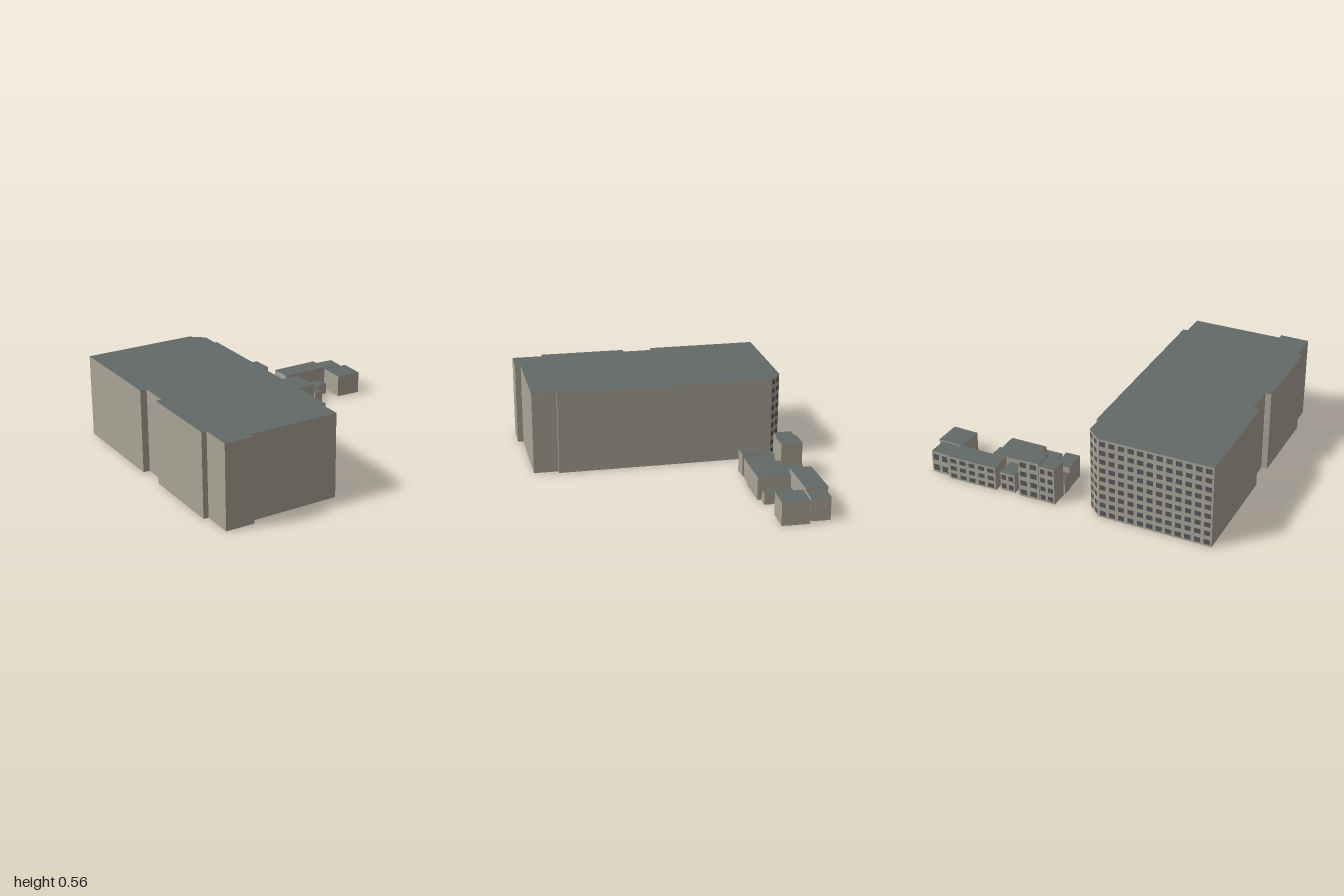
import * as THREE from 'three';
import { mergeGeometries } from 'three/addons/utils/BufferGeometryUtils.js';

const makeMaterial = (name, color, side) => {
  const material = new THREE.MeshStandardMaterial({ color, side });
  material.name = name;
  return material;
};
const wallMat = makeMaterial('stone wall', 0xaaa496, THREE.DoubleSide);
const roofMat = makeMaterial('slate roof', 0x626a66, THREE.DoubleSide);
const glassMat = makeMaterial('window glass', 0x53595b, THREE.FrontSide);

// Upright rectangle on the edge a-b, centred at fraction t along it and height y
function panel(a, b, t, y, width, height, lift = 0) {
  const along = b.clone().sub(a);
  const out = new THREE.Vector2(along.y, -along.x).normalize();
  const p = a.clone().addScaledVector(along, t).addScaledVector(out, lift);
  return new THREE.PlaneGeometry(width, height)
    .rotateY(Math.atan2(out.x, out.y))
    .translate(p.x, y, p.y);
}

// Even grid of windows over one wall
function windowGrid(a, b, h) {
  const pitch = 0.063, len = a.distanceTo(b);
  const cols = Math.round(len / pitch), rows = Math.round(h / pitch);
  const parts = [];
  for (let r = 0; r < rows; r++) {
    for (let c = 0; c < cols; c++) {
      parts.push(panel(a, b, (c + 0.5) / cols, (r + 0.5) * h / rows,
        0.65 * len / cols, 0.54 * h / rows, 0.002));
    }
  }
  return parts;
}

// Walls and flat roof over a footprint (x, z), open below; the first edges are glazed
function makeBuilding(name, plan, h, glazedEdges) {
  const group = new THREE.Group();
  group.name = name;
  const add = (part, geometry, material) => {
    const mesh = new THREE.Mesh(geometry, material);
    mesh.name = part;
    group.add(mesh);
  };
  const walls = [], windows = [];
  plan.forEach((a, i) => {
    const b = plan[(i + 1) % plan.length];
    walls.push(panel(a, b, 0.5, h / 2, a.distanceTo(b), h));
    if (i < glazedEdges) windows.push(...windowGrid(a, b, h));
  });
  add('walls', mergeGeometries(walls), wallMat);
  const shape = new THREE.Shape(plan.map((p) => new THREE.Vector2(p.x, -p.y)));
  add('roof', new THREE.ShapeGeometry(shape).rotateX(-Math.PI / 2).translate(0, h, 0), roofMat);
  if (windows.length) add('windows', mergeGeometries(windows), glassMat);
  return group;
}

// Four-cornered footprint, turned slightly about its centre, back edge first
function rectangle(x, z, w, d, turn) {
  const centre = new THREE.Vector2(x, z);
  return [[-1, -1], [1, -1], [1, 1], [-1, 1]].map(([i, j]) =>
    new THREE.Vector2(x + i * w / 2, z + j * d / 2).rotateAround(centre, turn));
}

const outline = (points) => points.map(([x, z]) => new THREE.Vector2(x, z));

// Large block: chamfered back corner, stepped front, shallow notch in one long side
function makeMainBlock() {
  const plan = outline([
    [-1, -0.865], [-0.24, -0.87], [-0.147, -0.79], [-0.147, -0.665], [-0.13, -0.665],
    [-0.12, 0.683], [-0.15, 0.683], [-0.15, 0.85], [-0.76, 0.858], [-0.76, 0.897],
    [-0.955, 0.897], [-0.955, 0.683], [-0.99, 0.683], [-0.99, 0.095], [-0.95, 0.095],
    [-0.95, -0.11], [-0.995, -0.11]]);
  return makeBuilding('mainBlock', plan, 0.565, 2);
}

// Low house with an angled wing
function makeBentHouse() {
  const plan = outline([
    [0.597, -0.73], [0.685, -0.73], [0.76, -0.75], [0.783, -0.66], [0.662, -0.632],
    [0.662, -0.532], [0.6, -0.532], [0.6, -0.57], [0.59, -0.57]]);
  return makeBuilding('bentHouse', plan, 0.075, 0);
}

// Small houses: name, x, z, width, depth, turn, height
const backRow = [
  ['backTowerRight', 0.12, -0.814, 0.107, 0.122, 0, 0.255],
  ['backTowerLeft', 0.251, -0.805, 0.142, 0.145, -0.035, 0.27],
  ['backNarrowHouse', 0.408, -0.803, 0.104, 0.133, 0, 0.13],
  ['backLongHouse', 0.655, -0.823, 0.342, 0.147, -0.02, 0.165],
  ['backCornerHouse', 0.9, -0.813, 0.131, 0.13, 0.035, 0.155],
];
const frontRow = [
  ['courtShed', 0.112, -0.711, 0.1, 0.068, 0, 0.12],
  ['frontEndHouse', 0.12, -0.59, 0.097, 0.156, -0.04, 0.155],
  ['frontNarrowHouse', 0.251, -0.615, 0.111, 0.194, -0.015, 0.14],
  ['frontWideHouse', 0.448, -0.619, 0.257, 0.222, -0.01, 0.155],
  ['frontCornerHouse', 0.909, -0.644, 0.177, 0.182, 0.02, 0.155],
];

export function createModel() {
  const model = new THREE.Group();
  model.name = 'cityBlock';
  model.add(makeMainBlock(), makeBentHouse());
  // Only the back row has windows, on its rear walls
  [backRow, frontRow].forEach((row, i) => {
    for (const [name, x, z, w, d, turn, h] of row) {
      model.add(makeBuilding(name, rectangle(x, z, w, d, turn), h, i === 0 ? 1 : 0));
    }
  });
  return model;
}
